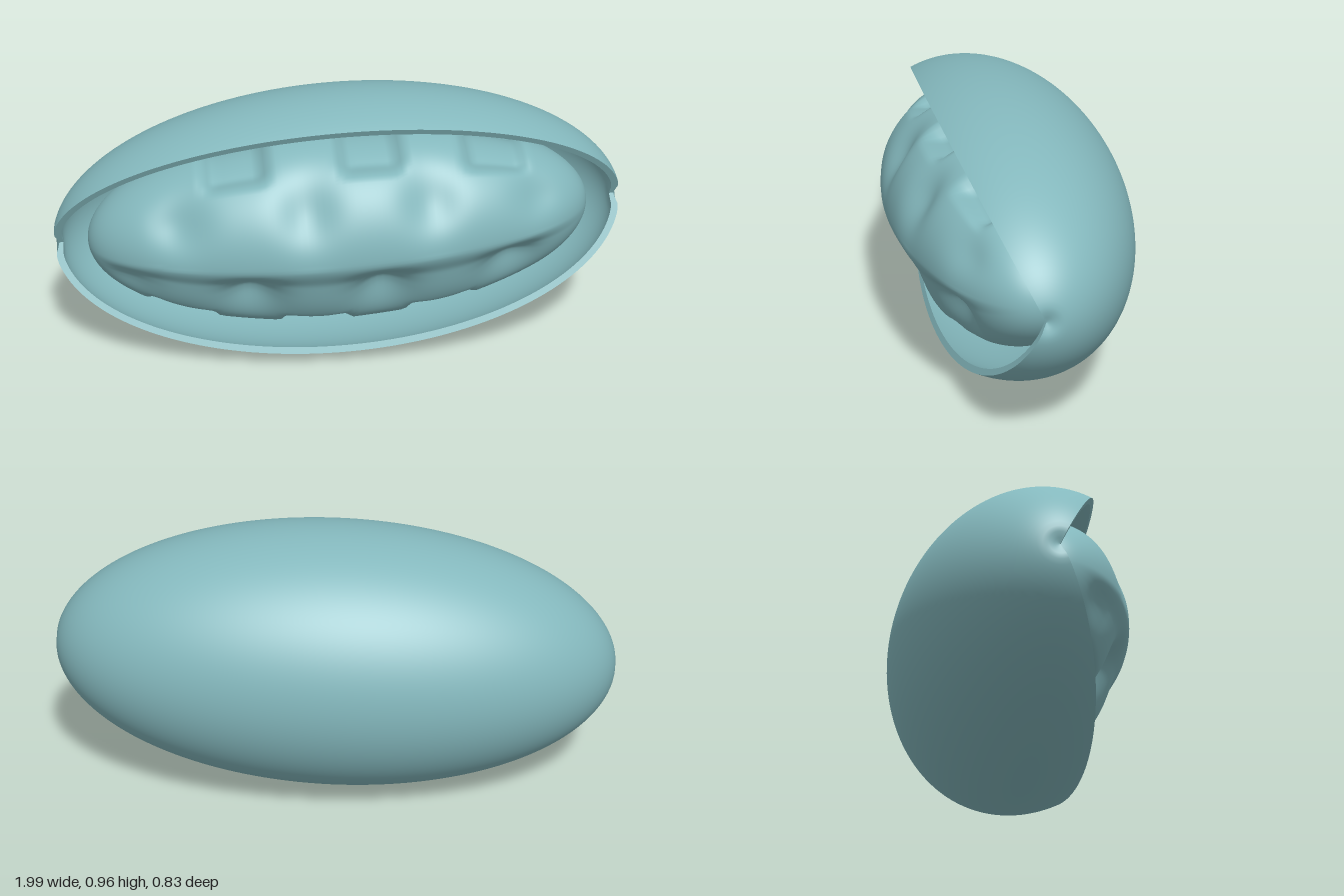
import * as THREE from 'three';
import { mergeVertices } from 'three/addons/utils/BufferGeometryUtils.js';

const teal = new THREE.MeshStandardMaterial({ color: 0x84b8bd, side: THREE.DoubleSide });
teal.name = 'teal';

const DEG = Math.PI / 180;
const OPENING = 64 * DEG; // half angle of the wedge missing at the front
const { smoothstep } = THREE.MathUtils;

// Half-ellipse profile (radius, height along axis) with a small dimple at each pole
function profile(length, radius, dimple) {
  const points = [];
  const n = 80;
  for (let i = 0; i <= n; i++) {
    const a = -Math.PI / 2 + (Math.PI * i) / n;
    const r = Math.max(0, radius * Math.cos(a));
    const h = length * Math.sin(a) - Math.sign(a) * dimple * Math.exp(-((r / 0.03) ** 2));
    points.push(new THREE.Vector2(r, h));
  }
  return points;
}

function add(group, name, geometry) {
  const mesh = new THREE.Mesh(geometry, teal);
  mesh.name = name;
  group.add(mesh);
}

// Revolve a profile about the x axis, leaving the front open
function openLathe(points) {
  return new THREE.LatheGeometry(points, 96, OPENING, 2 * (Math.PI - OPENING)).rotateZ(-Math.PI / 2);
}

// Flat-bottomed bump of half width w around c with soft edges s
const plateau = (v, c, w, s) => 1 - smoothstep(Math.abs(v - c), w - s, w + s);
const bell = (v, c, w) => Math.exp(-(((v - c) / w) ** 2));

// Depth of the membrane folds at axial position x and angle phi (0 = front, 90 = top)
function foldDepth(x, phi) {
  const upper = phi > 0;
  const a = Math.abs(phi);
  let d = 0;
  // slots along the top and bottom
  const slots = upper ? [-0.35, 0.11, 0.54] : [-0.57, -0.11, 0.33];
  for (const c of slots) d += 0.05 * plateau(x, c, 0.1, 0.03) * plateau(a, 90, 35, 8);
  // rounded dents beside the front ridge, between the slots
  const dents = upper ? [-0.56, -0.12, 0.3, 0.7] : [-0.78, -0.33, 0.12, 0.57];
  for (const c of dents) {
    d += upper
      ? 0.04 * bell(x, c, 0.09) * bell(a, 32, 20)
      : 0.075 * bell(x, c, 0.1) * smoothstep(a, 2, 30) * (1 - smoothstep(a, 32, 68));
  }
  // shallow hollow under the front ridge
  if (!upper) d += 0.03 * smoothstep(a, 0, 18) * (1 - smoothstep(a, 18, 60));
  return d;
}

function membraneGeometry() {
  let g = new THREE.SphereGeometry(1, 180, 130).rotateZ(-Math.PI / 2);
  g.deleteAttribute('uv');
  g.deleteAttribute('normal');
  g = mergeVertices(g, 1e-5);
  const p = g.attributes.position;
  for (let i = 0; i < p.count; i++) {
    const t = p.getX(i), y = p.getY(i), z = p.getZ(i);
    const x = 0.88 * t;
    const fade = Math.min(1, 2.2 * (1 - t * t));
    const r = 0.355 - fade * foldDepth(x, Math.atan2(y, z) / DEG);
    p.setXYZ(i, x, y * r, z * r);
  }
  g.computeVertexNormals();
  return g;
}

export function createModel() {
  const model = new THREE.Group();
  model.name = 'cutawayCapsule';
  const body = new THREE.Group();
  body.name = 'tiltedBody';
  body.position.set(0, 0.482, 0.06);
  body.rotation.z = 3 * DEG;
  model.add(body);

  // Hollow outer shell
  const outer = profile(1, 0.476, 0.02);
  const inner = profile(0.975, 0.452, 0.01).reverse();
  add(body, 'outerShell', openLathe(outer));
  add(body, 'shellLining', openLathe(inner));

  // Flat rims closing the cut edges
  const outline = [...outer, ...inner].map((v) => new THREE.Vector2(v.y, v.x));
  for (const [name, angle] of [['upperRim', Math.PI / 2 - OPENING], ['lowerRim', Math.PI / 2 + OPENING]]) {
    add(body, name, new THREE.ShapeGeometry(new THREE.Shape(outline)).rotateX(angle));
  }

  // Folded inner membrane
  add(body, 'innerMembrane', membraneGeometry());
  return model;
}
